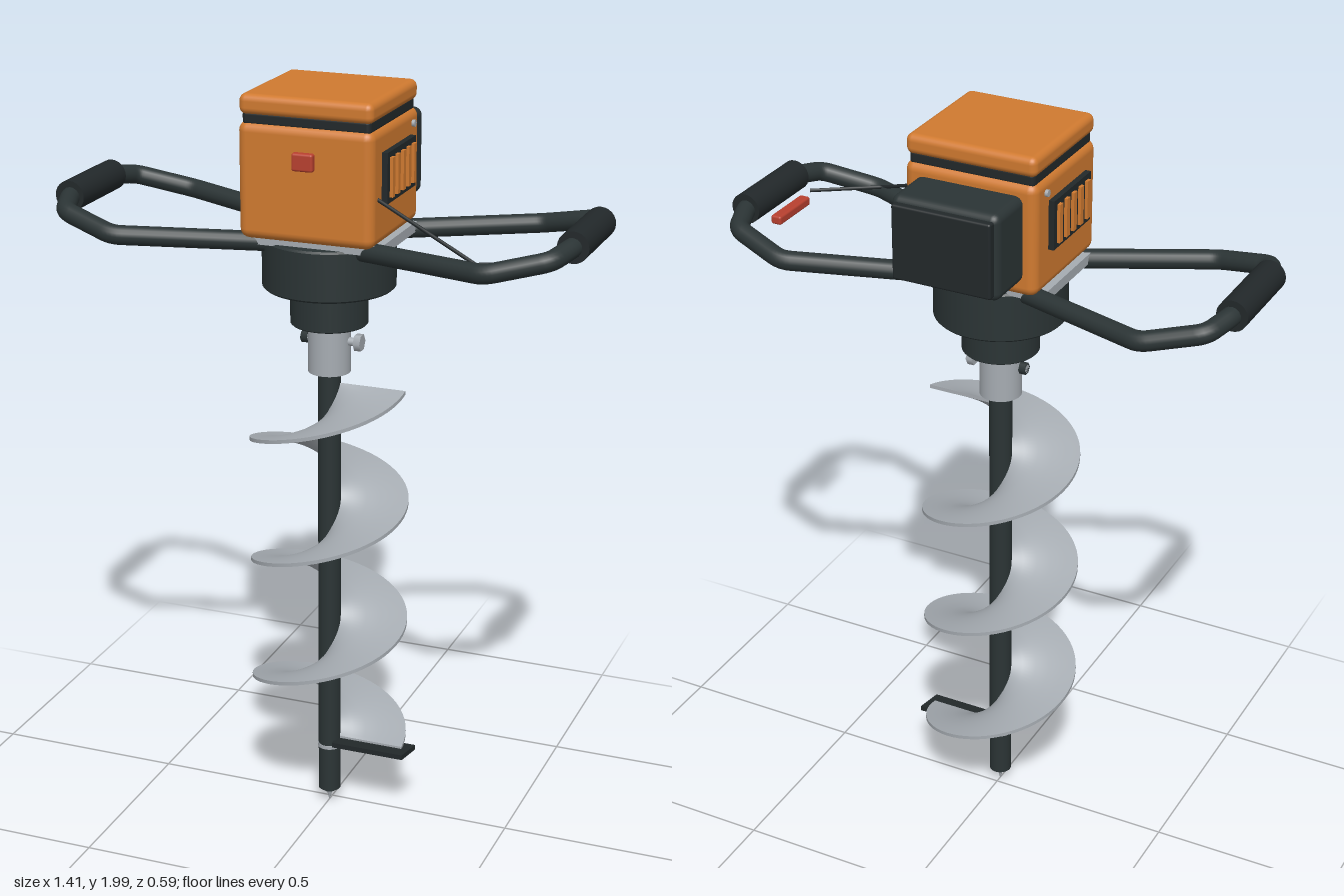
import * as THREE from 'three';
import { RoundedBoxGeometry } from 'three/addons/geometries/RoundedBoxGeometry.js';

const paint = (color) => new THREE.MeshStandardMaterial({ color });
const ORANGE = paint(0xd07a30), DARK = paint(0x2b3435), BLACK = paint(0x22282a);
const STEEL = paint(0xa6acb2), RED = paint(0xb8402f);
const CZ = 0.02; // drill axis lies slightly forward of the centre

export function createModel() {
  const model = new THREE.Group();
  model.name = 'earthAuger';

  const add = (name, geometry, material, x = 0, y = 0, z = 0) => {
    const mesh = new THREE.Mesh(geometry, material);
    mesh.name = name;
    mesh.position.set(x, y, z);
    model.add(mesh);
    return mesh;
  };
  const box = (name, mat, w, h, d, x, y, z) => add(name, new THREE.BoxGeometry(w, h, d), mat, x, y, z);
  const round = (name, mat, w, h, d, r, x, y, z) => add(name, new RoundedBoxGeometry(w, h, d, 3, r), mat, x, y, z);
  // upright cylinder on the drill axis, between two heights
  const column = (name, mat, r, y0, y1, rBottom = r) =>
    add(name, new THREE.CylinderGeometry(r, rBottom, y1 - y0, 40), mat, 0, (y0 + y1) / 2, CZ);
  // cylinder lying along x
  const pin = (name, mat, r, length, x, y, z, sides = 16) => {
    const mesh = add(name, new THREE.CylinderGeometry(r, r, length, sides), mat, x, y, z);
    mesh.rotation.z = Math.PI / 2;
    return mesh;
  };

  // drill shaft and point
  column('drillShaft', DARK, 0.03, 0.05, 1.27);
  column('shaftCollar', STEEL, 0.032, 0.178, 0.188);
  column('pilotPoint', STEEL, 0.011, 0.01, 0.05, 0.001);
  column('pilotBase', DARK, 0.016, 0.04, 0.052);

  // spiral flight: a long box wrapped three turns round the shaft
  const turns = 3, pitch = 0.34, flight = new THREE.BoxGeometry(1, 1, 1, 180, 1, 5);
  const p = flight.attributes.position;
  for (let i = 0; i < p.count; i++) {
    const t = p.getX(i) + 0.5, r = 0.025 + (p.getZ(i) + 0.5) * 0.183;
    const a = t * turns * Math.PI * 2;
    p.setXYZ(i, r * Math.cos(a), 0.205 + t * turns * pitch + p.getY(i) * 0.01, -r * Math.sin(a));
  }
  flight.computeVertexNormals();
  add('spiralFlight', flight, STEEL, 0, 0, CZ);

  // cutting blade at the foot of the flight
  const bladeShape = new THREE.Shape([[0.02, -0.055], [0.222, -0.055], [0.235, 0.015], [0.02, 0.015]]
    .map(([x, y]) => new THREE.Vector2(x, y)));
  const blade = add('cuttingBlade', new THREE.ExtrudeGeometry(bladeShape, { depth: 0.014, bevelEnabled: false }),
    BLACK, 0, 0.19, 0);
  blade.rotation.x = -Math.PI / 2;

  // coupling with its cross bolt
  column('coupling', STEEL, 0.055, 1.26, 1.395);
  pin('couplingBolt', STEEL, 0.011, 0.16, 0.005, 1.345, CZ);
  pin('boltHead', STEEL, 0.023, 0.018, 0.081, 1.345, CZ, 6);
  pin('boltNut', DARK, 0.016, 0.018, -0.066, 1.345, CZ, 6);

  // gearbox
  const gearbox = [[0, 1.39], [0.097, 1.39], [0.1, 1.393], [0.1, 1.49], [0.166, 1.49], [0.171, 1.495],
    [0.171, 1.617], [0.166, 1.622], [0, 1.622]];
  const profile = [];
  gearbox.forEach(([r, y]) => { // doubled points keep the steps crisp
    profile.push(new THREE.Vector2(r, y), new THREE.Vector2(r, y));
  });
  add('gearbox', new THREE.LatheGeometry(profile, 48), DARK, 0, 0, CZ);

  // engine housing
  box('mountingPlate', STEEL, 0.38, 0.026, 0.28, 0, 1.631, CZ);
  round('engineHousing', ORANGE, 0.356, 0.295, 0.34, 0.025, 0, 1.785, CZ);
  round('housingSeam', BLACK, 0.336, 0.04, 0.32, 0.012, 0, 1.94, CZ);
  round('topCover', ORANGE, 0.35, 0.052, 0.334, 0.018, 0, 1.974, CZ);
  round('stopButton', RED, 0.056, 0.045, 0.024, 0.006, 0, 1.847, 0.194);

  // air vents on both sides
  for (const s of [-1, 1]) {
    box('ventPanel', BLACK, 0.02, 0.128, 0.205, s * 0.183, 1.807, 0.023);
    for (let i = -2; i <= 2; i++) {
      box('ventSlat', ORANGE, 0.022, 0.1, 0.017, s * 0.19, 1.807, 0.023 + i * 0.039);
    }
    pin('housingScrew', STEEL, 0.009, 0.012, s * 0.18, 1.897, -0.095);
  }

  // exhaust box at the back
  round('exhaustBox', DARK, 0.288, 0.225, 0.15, 0.022, 0, 1.788, -0.205);
  round('exhaustCover', BLACK, 0.264, 0.195, 0.03, 0.006, 0, 1.788, -0.282);

  // looped handles: straight runs joined by short rounded bends
  const half = [[0.13, 1.62, 0.113], [0.487, 1.636, 0.25], [0.638, 1.672, 0.206], [0.667, 1.687, 0.12]];
  for (const s of [-1, 1]) {
    const pts = [...half.map(([x, y, z]) => new THREE.Vector3(s * x, y, CZ - 0.002 + z)),
      ...[...half].reverse().map(([x, y, z]) => new THREE.Vector3(s * x, y, CZ - 0.002 - z))];
    const path = new THREE.CurvePath();
    let from = pts[0];
    for (let i = 1; i < pts.length - 1; i++) {
      const toward = (q) => pts[i].clone().add(q.clone().sub(pts[i]).setLength(0.025));
      const a = toward(pts[i - 1]), b = toward(pts[i + 1]);
      path.add(new THREE.LineCurve3(from, a));
      path.add(new THREE.QuadraticBezierCurve3(a, pts[i], b));
      from = b;
    }
    path.add(new THREE.LineCurve3(from, pts[pts.length - 1]));
    add(s > 0 ? 'leftHandle' : 'rightHandle', new THREE.TubeGeometry(path, 160, 0.025, 16), DARK);
    const grip = add('handGrip', new THREE.CylinderGeometry(0.04, 0.04, 0.245, 24), BLACK, s * 0.667, 1.687, 0.018);
    grip.rotation.x = Math.PI / 2;
  }

  // throttle lever and cable on the left handle
  round('throttleLever', RED, 0.03, 0.024, 0.148, 0.006, 0.615, 1.642, 0.026);
  const cable = new THREE.CurvePath();
  const c = [[0.17, 1.762, 0.147], [0.46, 1.652, 0.245], [0.63, 1.645, 0.15]].map((v) => new THREE.Vector3(...v));
  cable.add(new THREE.LineCurve3(c[0], c[1]));
  cable.add(new THREE.LineCurve3(c[1], c[2]));
  add('throttleCable', new THREE.TubeGeometry(cable, 40, 0.005, 8), BLACK);

  return model;
}
